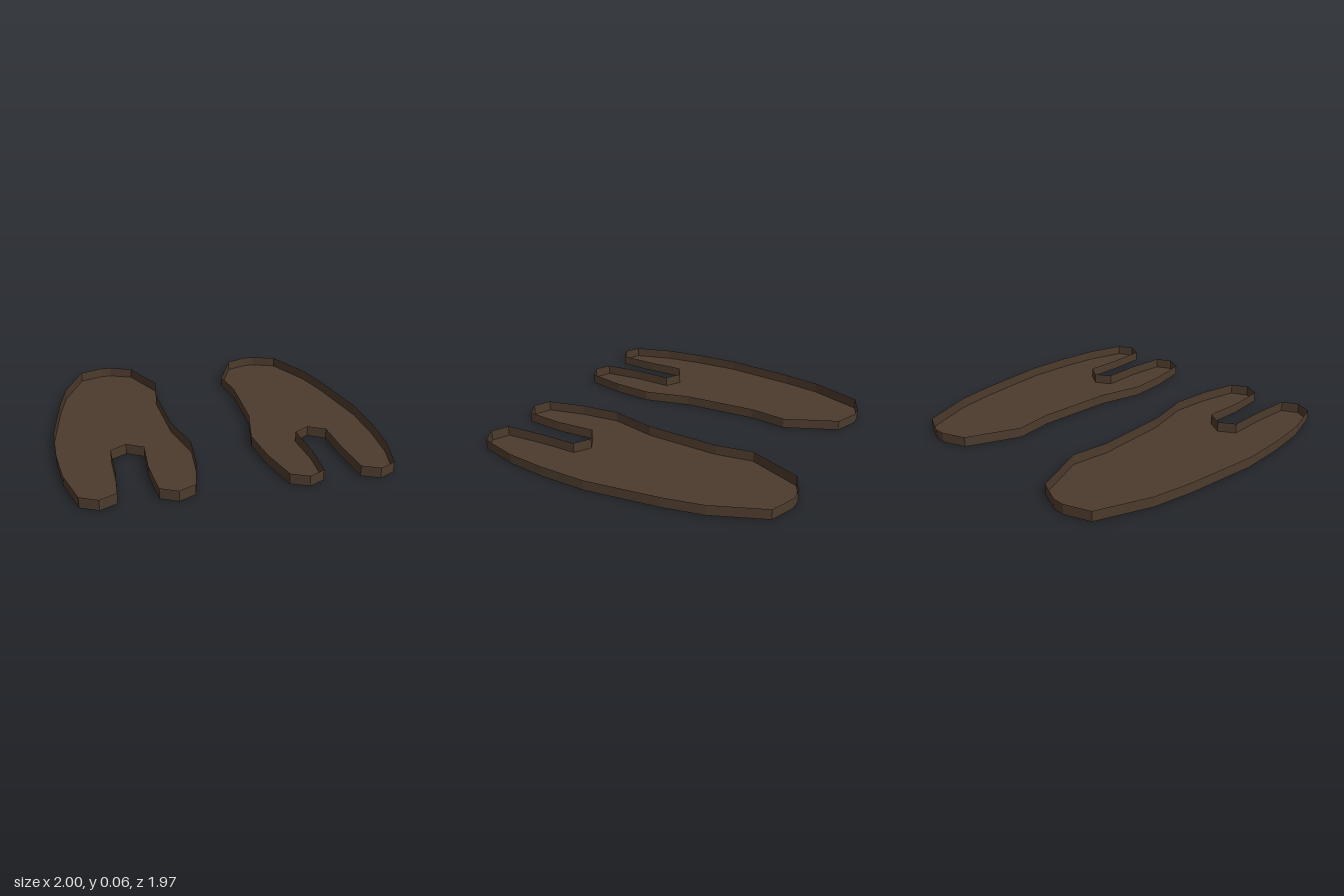
import * as THREE from 'three';

const HEIGHT = 0.065;

// Sole outline as [x, z], clockwise seen from above, starting at the heel.
const OUTLINE = [
  [0.54, -0.985], [0.61, -0.985], [0.765, -0.923], [0.895, -0.595], [0.943, -0.35],
  [1.0, 0.12], [0.992, 0.42], [0.963, 0.68], [0.893, 0.93], [0.79, 0.98],
  [0.69, 0.93], [0.675, 0.68], [0.677, 0.425], [0.577, 0.363], [0.475, 0.425],
  [0.487, 0.68], [0.467, 0.93], [0.368, 0.98], [0.266, 0.93], [0.212, 0.68],
  [0.19, 0.425], [0.26, 0.125], [0.283, -0.355], [0.25, -0.592], [0.39, -0.922],
];

// Flat floor lying on the ground
function floorGeometry(points) {
  const shape = new THREE.Shape(points.map(([x, z]) => new THREE.Vector2(x, -z)));
  return new THREE.ShapeGeometry(shape).rotateX(-Math.PI / 2);
}

// Thin upright rim following the outline, open at the top
function rimGeometry(points) {
  const positions = [];
  points.forEach(([ax, az], i) => {
    const [bx, bz] = points[(i + 1) % points.length];
    positions.push(ax, 0, az, bx, HEIGHT, bz, bx, 0, bz);
    positions.push(ax, 0, az, ax, HEIGHT, az, bx, HEIGHT, bz);
  });
  const geometry = new THREE.BufferGeometry();
  geometry.setAttribute('position', new THREE.Float32BufferAttribute(positions, 3));
  geometry.computeVertexNormals();
  return geometry;
}

export function createModel() {
  const model = new THREE.Group();
  model.name = 'splitToeSoles';
  const brown = new THREE.MeshStandardMaterial({
    name: 'dark brown', color: 0x4d3b2d, flatShading: true, side: THREE.DoubleSide,
  });

  // A mirrored pair of shallow open trays
  for (const side of [1, -1]) {
    const points = OUTLINE.map(([x, z]) => [side * x, z]);
    if (side < 0) points.reverse();
    const sole = new THREE.Group();
    sole.name = side > 0 ? 'leftSole' : 'rightSole';
    const floor = new THREE.Mesh(floorGeometry(points), brown);
    floor.name = 'floor';
    const rim = new THREE.Mesh(rimGeometry(points), brown);
    rim.name = 'rim';
    sole.add(floor, rim);
    model.add(sole);
  }
  return model;
}
